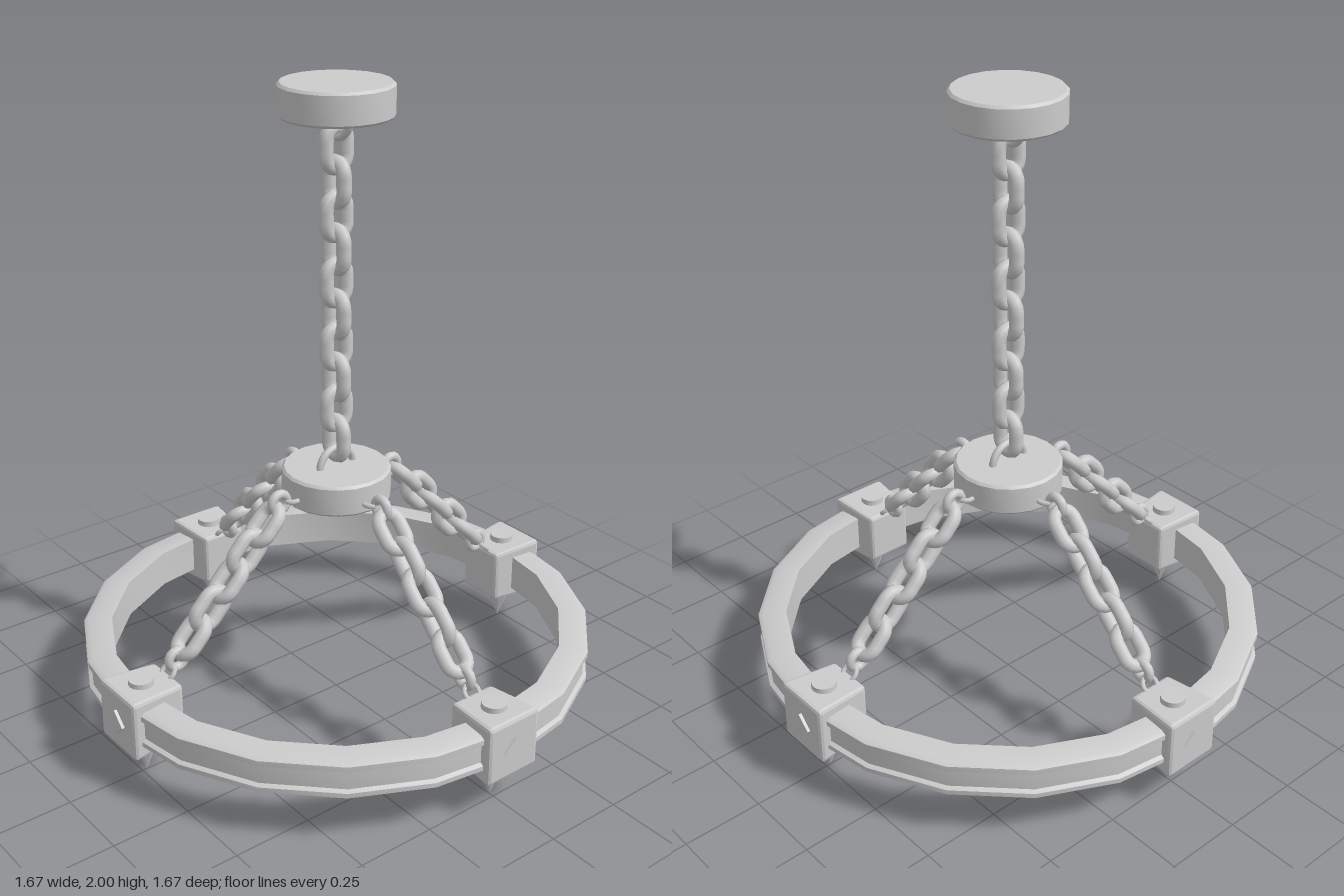
import * as THREE from 'three';
import { toCreasedNormals } from 'three/addons/utils/BufferGeometryUtils.js';
import { RoundedBoxGeometry } from 'three/addons/geometries/RoundedBoxGeometry.js';

const metal = new THREE.MeshStandardMaterial({ color: 0xcccccc });

function add(parent, name, geometry, x = 0, y = 0, z = 0) {
  const mesh = new THREE.Mesh(geometry, metal);
  mesh.name = name;
  mesh.position.set(x, y, z);
  parent.add(mesh);
  return mesh;
}

// Turned solid with smooth sides and sharp profile edges
function turned(profile, sides = 20) {
  const points = profile.map(([r, y]) => new THREE.Vector2(r, y));
  return toCreasedNormals(new THREE.LatheGeometry(points, sides), 0.5);
}

// Stadium-shaped chain link, long along y, lying in the xy plane
function linkGeometry() {
  const r = 0.037, s = 0.023;
  const outline = new THREE.Shape();
  outline.absarc(0, s, r, 0, Math.PI, false);
  outline.absarc(0, -s, r, Math.PI, 2 * Math.PI, false);
  outline.closePath();
  const points = outline.getSpacedPoints(20).slice(0, -1)
    .map((p) => new THREE.Vector3(p.x, p.y, 0));
  return new THREE.TubeGeometry(new THREE.CatmullRomCurve3(points, true), 24, 0.022, 8, true);
}

// Bevelled block that narrows toward the middle of the fixture (-x)
function blockGeometry() {
  const depth = 0.185;
  const g = new RoundedBoxGeometry(depth, 0.196, 0.196, 1, 0.012);
  const p = g.attributes.position;
  for (let i = 0; i < p.count; i++) {
    const k = THREE.MathUtils.lerp(0.8, 1, p.getX(i) / depth + 0.5);
    p.setY(i, p.getY(i) * (0.5 + k / 2));
    p.setZ(i, p.getZ(i) * k);
  }
  return toCreasedNormals(g, 0.3);
}

export function createModel() {
  const model = new THREE.Group();
  model.name = 'hangingRingFixture';

  // Ceiling cap and hub
  const disc = turned([[0, 0], [0.163, 0], [0.171, 0.008], [0.171, 0.092], [0.163, 0.1], [0, 0.1]]);
  add(model, 'ceilingCap', disc, 0, 1.9, 0);
  add(model, 'hub', disc, 0, 0.71, 0);

  // Hoops that hold the main chain
  const hoop = new THREE.TorusGeometry(0.064, 0.012, 8, 16, Math.PI);
  add(model, 'hubHoop', hoop, 0, 0.805, 0);
  add(model, 'capHoop', hoop, 0, 1.905, 0).rotation.set(Math.PI, Math.PI / 2, 0);

  // Main chain
  const link = linkGeometry();
  const chain = new THREE.Group();
  chain.name = 'mainChain';
  for (let i = 0; i < 10; i++) {
    add(chain, 'link', link, 0, 1.81 - i * 0.101, 0).rotation.y = (i % 2) * Math.PI / 2;
  }
  model.add(chain);

  // Grooved ring
  add(model, 'ring', turned([
    [0.725, 0.155], [0.8, 0.155], [0.815, 0.163], [0.815, 0.178], [0.803, 0.185],
    [0.803, 0.243], [0.815, 0.25], [0.815, 0.267], [0.8, 0.275], [0.725, 0.275], [0.725, 0.155],
  ]));

  // Four arms: block, studs, spike and slanted chain
  const block = blockGeometry();
  const stud = toCreasedNormals(new THREE.CylinderGeometry(0.038, 0.04, 0.03, 16), 0.5);
  const diamond = new THREE.BoxGeometry(0.024, 0.06, 0.06);
  const spike = toCreasedNormals(new THREE.ConeGeometry(0.048, 0.125, 8), 0.3);
  const endRing = new THREE.TorusGeometry(0.028, 0.015, 8, 16);
  const eye = new THREE.TorusGeometry(0.026, 0.008, 6, 14);
  const slope = Math.atan2(0.0725, 0.07);

  for (let a = 0; a < 4; a++) {
    const arm = new THREE.Group();
    arm.name = 'arm';
    arm.rotation.y = a * Math.PI / 2;
    add(arm, 'block', block, 0.733, 0.214, 0);
    add(arm, 'topStud', stud, 0.738, 0.31, 0);
    add(arm, 'diamondStud', diamond, 0.823, 0.21, 0).rotation.x = Math.PI / 4;
    add(arm, 'spike', spike, 0.735, 0.0625, 0).rotation.x = Math.PI;

    add(arm, 'upperRing', endRing, 0.221, 0.745, 0);
    add(arm, 'lowerRing', endRing, 0.61, 0.342, 0);
    add(arm, 'hubEye', eye, 0.175, 0.745, 0).rotation.x = Math.PI / 2;
    const lowerEye = add(arm, 'blockEye', eye, 0.643, 0.308, 0);
    lowerEye.rotation.set(Math.PI / 2, slope, 0, 'ZXY');
    lowerEye.rotation.set(Math.PI / 2, 0, -slope, 'ZXY');

    for (let i = 0; i < 5; i++) {
      const piece = add(arm, 'link', link, 0.275 + i * 0.07, 0.688 - i * 0.0725, 0);
      piece.rotation.set(0, i % 2 ? 0 : Math.PI / 2, Math.PI / 2 - slope, 'ZXY');
    }
    model.add(arm);
  }
  return model;
}
